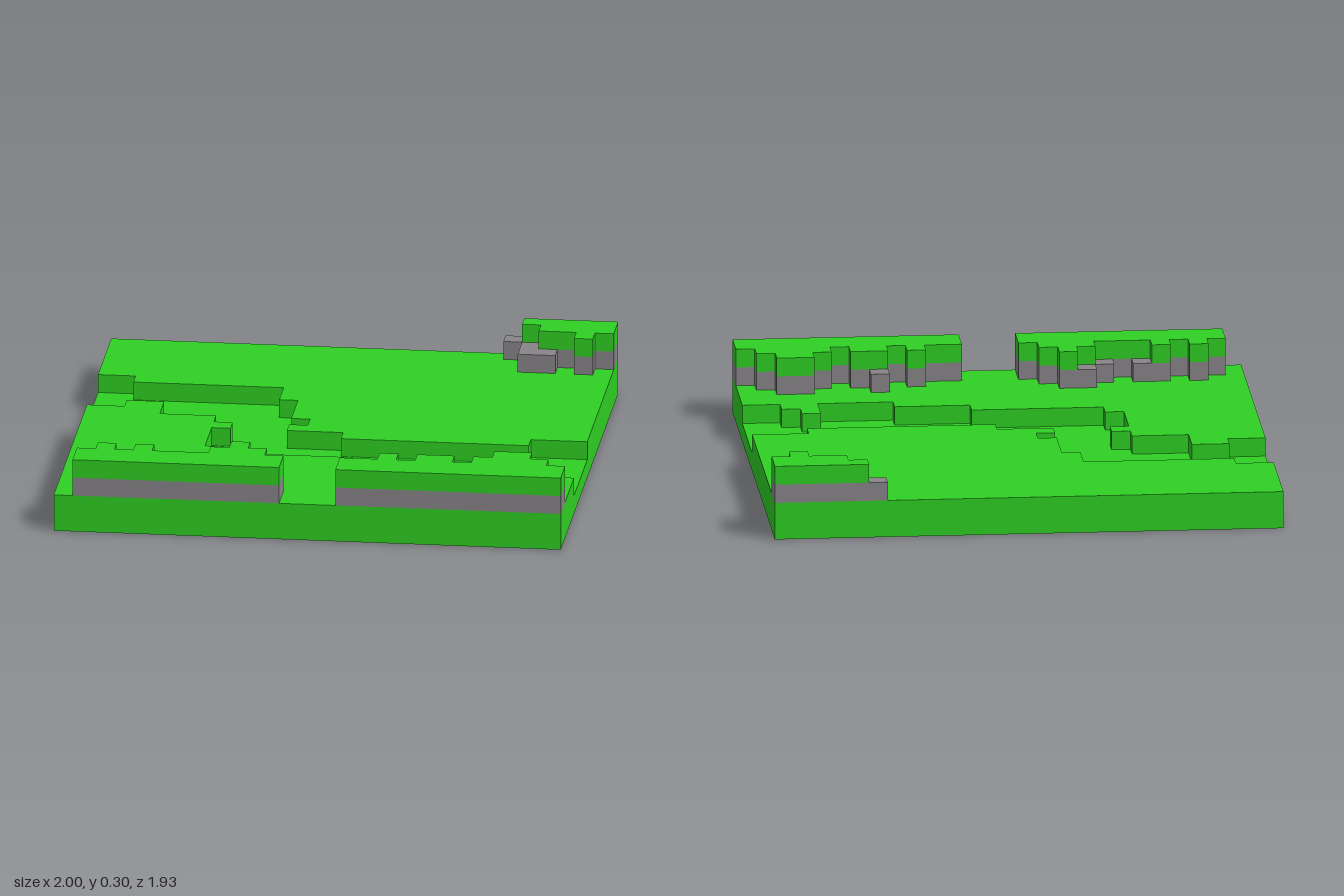
import * as THREE from 'three';

const CELL = 2 / 27, COLS = 27, ROWS = 26;
const green = new THREE.MeshStandardMaterial({ color: 0x2ed024 });
const grey = new THREE.MeshStandardMaterial({ color: 0x888588 });

// Flat slab from a grid outline, between two layer heights (in cells)
function slab(name, points, bottom, top, material) {
  const shape = new THREE.Shape(points.map(([c, r]) =>
    new THREE.Vector2((c - COLS / 2) * CELL, (r - ROWS / 2) * CELL)));
  const geometry = new THREE.ExtrudeGeometry(shape, { depth: (top - bottom) * CELL, bevelEnabled: false });
  geometry.rotateX(Math.PI / 2).translate(0, top * CELL, 0);
  const mesh = new THREE.Mesh(geometry, material);
  mesh.name = name;
  return mesh;
}

// Right-angled outline: start corner, then alternating new column / new row
function walk(col, row, moves) {
  const points = [[col, row]];
  moves.forEach((v, i) => {
    if (i % 2 === 0) col = v; else row = v;
    points.push([col, row]);
  });
  return points;
}

// Outline with one stepped side (one row value per column) and one straight side
function stepped(firstCol, edges, straightRow) {
  const points = [[firstCol, straightRow]];
  edges.forEach((row, i) => {
    if (row !== edges[i - 1]) points.push([firstCol + i, row]);
    if (row !== edges[i + 1]) points.push([firstCol + i + 1, row]);
  });
  points.push([firstCol + edges.length, straightRow]);
  return points;
}

// Stone layer with a grass layer on top
function hill(name, straightRow, stone, grass) {
  const group = new THREE.Group();
  group.name = name;
  group.add(
    slab(name + 'Stone', stepped(stone.col, stone.edges, straightRow), 2, 3, grey),
    slab(name + 'Grass', stepped(grass.col, grass.edges, straightRow), 3, 4, green));
  return group;
}

export function createModel() {
  const model = new THREE.Group();
  model.name = 'terrainTile';

  // Ground and river bed
  model.add(slab('riverBed', walk(0, 0, [COLS, ROWS, 0]), 0, 1, green));

  // Banks on both sides of the winding river
  model.add(slab('backBank', walk(0, 6,
    [2, 7, 10, 9, 11, 12, 12, 13, 11, 14, 14, 15, 24, 14, 27, 0, 0]), 1, 2, green));
  model.add(slab('frontBank', walk(0, 11,
    [2, 10, 4, 12, 7, 13, 8, 14, 7, 17, 8, 18, 15, 19, 19, 20, 23, 18, 24, 19, 25, 20, 27, 26, 0]), 1, 2, green));

  // Raised hills along the edges
  model.add(hill('frontRightHill', ROWS,
    { col: 1, edges: [24, 23, 24, 23, 23, 24, 23, 22, 22, 23, 24] },
    { col: 1, edges: [24, 23, 24, 23, 24, 24, 24, 23, 22, 23, 24] }));
  model.add(hill('frontLeftHill', ROWS,
    { col: 15, edges: [24, 24, 23, 24, 22, 23, 24, 23, 22, 22, 23, 24] },
    { col: 15, edges: [24, 24, 23, 24, 23, 23, 24, 23, 22, 22, 23, 24] }));
  model.add(hill('backLeftHill', 0,
    { col: 21, edges: [1, 3, 3, 2, 3, 2] },
    { col: 22, edges: [1, 2, 2, 3, 2] }));

  return model;
}
